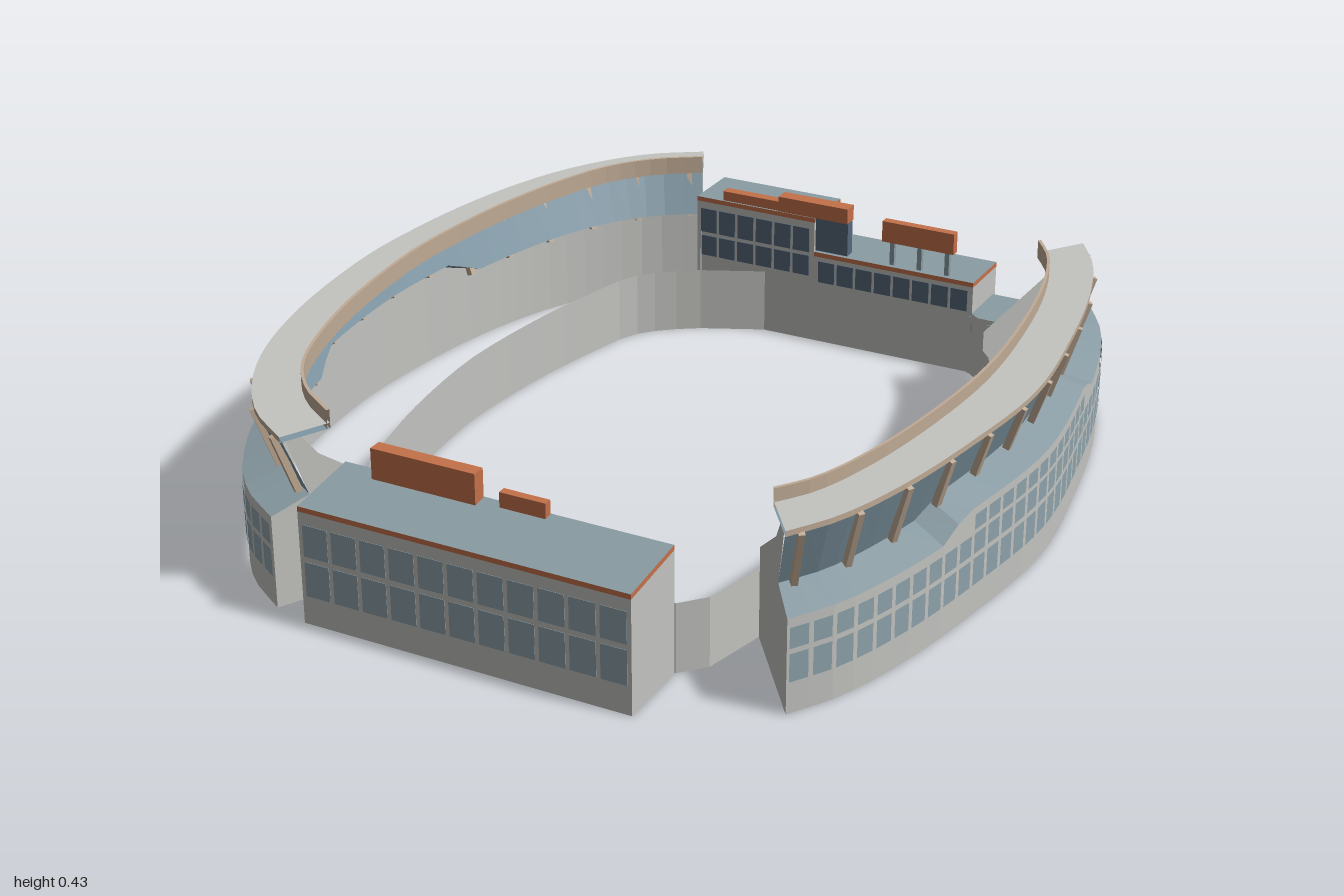
import * as THREE from 'three';

const flat = (name, color, side = THREE.DoubleSide) => {
  const m = new THREE.MeshStandardMaterial({ color, side });
  m.name = name;
  return m;
};

export function createModel() {
  const M = {
    wall: flat('pale concrete', 0xc3c4c0),
    roof: flat('slate roof', 0x8a9ca4),
    glass: flat('blue glass', 0x7f97a4),
    window: flat('window blue', 0x8ea2ab),
    dark: flat('dark glass', 0x56687a),
    tan: flat('tan steel', 0xc0ab95),
    orange: flat('orange panel', 0xc4714a),
  };
  const model = new THREE.Group();
  const add = (parent, name, geo, mat) => {
    const mesh = new THREE.Mesh(geo, mat);
    mesh.name = name;
    parent.add(mesh);
    return mesh;
  };
  // flat-faced geometry from a list of four-cornered faces
  const quads = (list) => {
    const pos = [];
    for (const [a, b, c, d] of list) for (const p of [a, b, c, a, c, d]) pos.push(...p);
    const g = new THREE.BufferGeometry();
    g.setAttribute('position', new THREE.Float32BufferAttribute(pos, 3));
    g.computeVertexNormals();
    return g;
  };
  const box = (parent, name, mat, x0, x1, y0, y1, z0, z1) =>
    add(parent, name, new THREE.BoxGeometry(x1 - x0, y1 - y0, z1 - z0), mat)
      .position.set((x0 + x1) / 2, (y0 + y1) / 2, (z0 + z1) / 2);

  // curved stands: a plan line outside, a second at the canopy's inner edge
  const DEPTH = 0.165, GLASS_TOP = [0.04, 0.385], GLASS_LOW = [0.11, 0.225];
  function stand(name, outer, inner, frontScale, raised, segs, ribs) {
    const g = new THREE.Group();
    g.name = name;
    model.add(g);
    const curve = (half) => {
      const front = half.filter((p) => p[1] !== 0).reverse().map(([x, z]) => [x, -z * frontScale]);
      return new THREE.CatmullRomCurve3([...half, ...front].map(([x, z]) => new THREE.Vector3(x, 0, z)));
    };
    const O = curve(outer), I = curve(inner);
    const at = (u, d, y) => {
      const t = O.getUtoTmapping(u);
      const p = O.getPoint(t).lerp(I.getPoint(t), d / DEPTH);
      return [p.x, y, p.z];
    };
    // outer wall height steps up along the middle
    const top = (u) => {
      const z = at(u, 0, 0)[2];
      const over = Math.max(raised[0] - z, z - raised[1], 0);
      return 0.26 - 0.04 * Math.min(over / 0.04, 1);
    };
    const onGlass = (y) => {
      const k = (y - GLASS_LOW[1]) / (GLASS_TOP[1] - GLASS_LOW[1]);
      return [GLASS_LOW[0] + (GLASS_TOP[0] - GLASS_LOW[0]) * k, y];
    };
    const loft = (part, mat, profile, closed = false, n = segs) => {
      const list = [];
      for (let i = 0; i < n; i++) {
        const u0 = i / n, u1 = (i + 1) / n, A = profile(u0), B = profile(u1);
        const count = closed ? A.length : A.length - 1;
        for (let j = 0; j < count; j++) {
          const k = (j + 1) % A.length;
          list.push([at(u0, ...A[j]), at(u1, ...B[j]), at(u1, ...B[k]), at(u0, ...A[k])]);
        }
      }
      return add(g, part, quads(list), mat);
    };
    const foot = (u) => onGlass(top(u) + 0.025);
    loft('outerWall', M.wall, (u) => [[0, 0], [0, top(u)]]);
    loft('ledgeRoof', M.roof, (u) => [[0, top(u)], foot(u)]);
    loft('leaningGlass', M.glass, (u) => [foot(u), GLASS_TOP]);
    loft('canopy', M.wall, () => [[0.035, 0.397], [DEPTH, 0.397]]);
    loft('canopySoffit', M.glass, () => [[0.035, 0.384], [DEPTH, 0.384]]);
    loft('canopyEdge', M.tan, () => [[0.035, 0.384], [0.035, 0.397]]);
    loft('canopyLip', M.tan, () => [[DEPTH - 0.008, 0.384], [DEPTH - 0.008, 0.428], [DEPTH, 0.428], [DEPTH, 0.384]], true);

    // wall windows, one column per bay, with a third row where the wall is taller
    const panes = [];
    for (let i = 0; i < segs; i++) {
      const a = (i + 0.1) / segs, b = (i + 0.9) / segs;
      const rows = [[0.075, 0.14], [0.152, 0.2]];
      if (Math.min(top(a), top(b)) > 0.255) rows.push([0.21, 0.246]);
      for (const [y0, y1] of rows)
        panes.push([at(a, -0.004, y0), at(b, -0.004, y0), at(b, -0.004, y1), at(a, -0.004, y1)]);
    }
    add(g, 'wallWindows', quads(panes), M.window);

    // slanted ribs over the glass
    for (let i = 0; i < ribs; i++) {
      const u = (i + 0.25) / (ribs - 0.5), f = foot(u);
      const p = new THREE.Vector3(...at(u, f[0] - 0.01, f[1] - 0.01));
      const q = new THREE.Vector3(...at(u, GLASS_TOP[0] - 0.006, GLASS_TOP[1]));
      const rib = add(g, 'rib', new THREE.BoxGeometry(0.014, 0.016, p.distanceTo(q)), M.tan);
      rib.position.copy(p).add(q).multiplyScalar(0.5);
      rib.lookAt(q);
    }

    // end walls stepping down towards the field
    for (const u of [0, 1]) {
      const s = [[0, 0], [0, 0.22], [0.1, 0.245], [0.05, 0.384], [0.09, 0.384], [0.13, 0.335], [0.306, 0.215], [0.306, 0]]
        .map(([d, y]) => at(u, d, y));
      add(g, 'endWall', quads([[s[0], s[1], s[2], s[7]], [s[2], s[3], s[4], s[5]], [s[2], s[5], s[6], s[7]]]), M.wall);
    }
    return (n) => Array.from({ length: n + 1 }, (_, i) => at(i / n, 0.306, 0));
  }

  const rightStand = stand('rightStand',
    [[-0.478, -1], [-0.6, -0.915], [-0.705, -0.78], [-0.785, -0.62], [-0.85, -0.38], [-0.885, -0.08]],
    [[-0.41, -0.86], [-0.51, -0.79], [-0.59, -0.69], [-0.645, -0.55], [-0.695, -0.34], [-0.725, -0.07]],
    0.975, [-0.27, 0.36], 40, 15);
  const leftStand = stand('leftStand',
    [[0.668, -0.865], [0.735, -0.75], [0.795, -0.57], [0.845, -0.32], [0.882, 0]],
    [[0.57, -0.73], [0.622, -0.65], [0.67, -0.5], [0.708, -0.28], [0.728, 0]],
    0.985, [-0.38, 0.37], 32, 12);

  // low wall around the field
  const ring = [...rightStand(24), [-0.22, 0, 0.8], [0.4, 0, 0.815], [0.45, 0, 0.76],
    ...leftStand(20).reverse(), [0.45, 0, -0.75], [0.37, 0, -0.815], [-0.2, 0, -0.81]];
  add(model, 'fieldWall', quads(ring.map((p, i) => {
    const q = ring[(i + 1) % ring.length];
    return [p, q, [q[0], 0.165, q[2]], [p[0], 0.165, p[2]]];
  })), M.wall);

  // open-based building with a roof sloping from front (z1) to back (z0)
  function building(name, x0, x1, z0, z1, hBack, hFront, trim) {
    const g = new THREE.Group();
    g.name = name;
    model.add(g);
    const base = [[x0, 0, z0], [x1, 0, z0], [x1, 0, z1], [x0, 0, z1]];
    const up = (p, dy = 0) => [p[0], (p[2] === z0 ? hBack : hFront) + dy, p[2]];
    const sides = base.map((p, i) => [p, base[(i + 1) % 4]]);
    add(g, 'walls', quads(sides.map(([p, q]) => [p, up(p), up(q), q])), M.wall);
    const lift = trim ? 0.012 : 0;
    add(g, 'roof', quads([base.map((p) => up(p, lift)).reverse()]), M.roof);
    if (trim) add(g, 'roofTrim', quads(sides.map(([p, q]) => [up(p), up(p, lift), up(q, lift), up(q)])), M.orange);
    return g;
  }
  // grid of thin panes on a wall facing z
  function panes(g, mat, x0, x1, n, rows, z, fill = 0.86) {
    const w = (x1 - x0) / n;
    for (let i = 0; i < n; i++) for (const [y0, y1] of rows) {
      const c = x0 + w * (i + 0.5);
      box(g, 'pane', mat, c - w * fill / 2, c + w * fill / 2, y0, y1, z - 0.003, z + 0.003);
    }
  }

  // front building and its signs
  const front = building('frontBuilding', -0.39, 0.4, 0.82, 1, 0.29, 0.267, true);
  panes(front, M.window, -0.385, 0.395, 11, [[0.068, 0.15], [0.163, 0.238]], 0.998);
  panes(front, M.dark, -0.38, 0.39, 14, [[0.17, 0.275]], 0.82);
  box(front, 'largeSign', M.orange, -0.3, -0.045, 0.295, 0.37, 0.822, 0.855);
  box(front, 'smallSign', M.orange, 0.005, 0.115, 0.295, 0.335, 0.822, 0.842);

  // back building: tall wing, low wing and side annex
  const tall = building('backTallBuilding', -0.408, -0.07, -0.985, -0.83, 0.318, 0.318, true);
  panes(tall, M.dark, -0.4, -0.08, 6, [[0.17, 0.225], [0.235, 0.3]], -0.83);
  panes(tall, M.window, -0.4, -0.08, 6, [[0.07, 0.13], [0.145, 0.2], [0.215, 0.27]], -0.985);
  box(tall, 'wideSign', M.orange, -0.335, -0.17, 0.33, 0.355, -0.862, -0.835);
  box(tall, 'tallSign', M.orange, -0.175, 0.02, 0.33, 0.37, -0.87, -0.832);
  box(tall, 'signBacking', M.dark, -0.07, 0.02, 0.24, 0.33, -0.865, -0.837);

  const low = building('backLowBuilding', -0.07, 0.37, -0.985, -0.83, 0.226, 0.226, true);
  panes(low, M.dark, -0.06, 0.36, 8, [[0.15, 0.215]], -0.83);
  box(low, 'raisedSign', M.orange, 0.115, 0.31, 0.3, 0.355, -0.86, -0.837);
  for (const x of [0.135, 0.21, 0.285]) box(low, 'signPost', M.roof, x, x + 0.012, 0.235, 0.3, -0.855, -0.843);

  const annex = building('backAnnex', 0.37, 0.445, -0.97, -0.81, 0.155, 0.155, false);
  panes(annex, M.window, 0.375, 0.44, 2, [[0.08, 0.135]], -0.97);
  panes(annex, M.window, 0.375, 0.44, 2, [[0.115, 0.142]], -0.81);
  for (const z of [-0.965, -0.93, -0.895])
    box(annex, 'sidePane', M.window, 0.443, 0.449, 0.08, 0.137, z, z + 0.03);

  return model;
}
